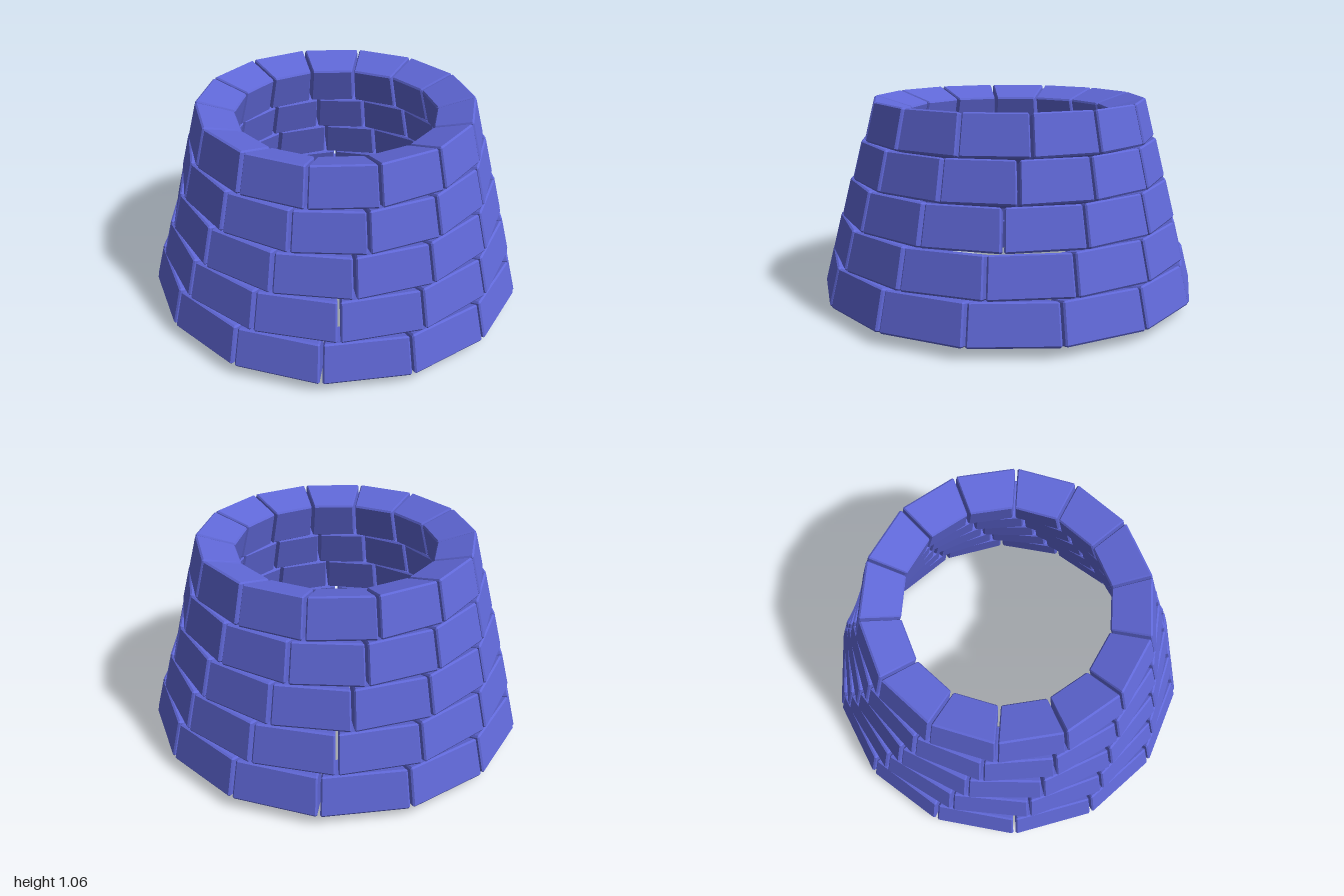
import * as THREE from 'three';
import { ConvexGeometry } from 'three/addons/geometries/ConvexGeometry.js';

const COURSES = 5;
const BRICKS = 14;
const STEP = (Math.PI * 2) / BRICKS;
const GAP = 0.007; // half of the open joint between neighbours
const BEVEL = 0.008;

// Cross-section of a tilted brick: [distance from axis, height]
function section(course) {
  const r = 0.975 - course * 0.057;
  const y = course * 0.201;
  return {
    outerBottom: [r, y + 0.06],
    outerTop: [r - 0.05, y + 0.258],
    innerBottom: [r - 0.193, y],
    innerTop: [r - 0.243, y + 0.198],
  };
}

// Wedge-shaped brick facing +z, with chamfered edges
function brickGeometry(course) {
  const s = section(course);
  const lerp = THREE.MathUtils.lerp;
  // u across, v up, w outwards, each from 0 to 1
  const place = (u, v, w) => {
    const mix = (k) => lerp(
      lerp(s.innerBottom[k], s.innerTop[k], v),
      lerp(s.outerBottom[k], s.outerTop[k], v), w);
    const r = mix(0);
    const half = r * Math.tan(STEP / 2) - GAP;
    return new THREE.Vector3((u * 2 - 1) * half, mix(1), r);
  };
  const inset = [BEVEL / 0.36, BEVEL / 0.2, BEVEL / 0.2];
  const points = [];
  for (let corner = 0; corner < 8; corner++) {
    for (let axis = 0; axis < 3; axis++) {
      // keep one coordinate on its face, pull the other two in
      const p = [0, 1, 2].map((k) => {
        const d = k === axis ? 0 : inset[k];
        return (corner >> k) & 1 ? 1 - d : d;
      });
      points.push(place(...p));
    }
  }
  return new ConvexGeometry(points);
}

export function createModel() {
  const model = new THREE.Group();
  model.name = 'brickRing';
  const material = new THREE.MeshStandardMaterial({ color: 0x6068d8, flatShading: true });

  // Stacked courses, each turned a little further than the one below
  for (let c = 0; c < COURSES; c++) {
    const course = new THREE.Group();
    course.name = `course${c + 1}`;
    const geometry = brickGeometry(c);
    const turn = THREE.MathUtils.degToRad(-13.2 + c * 4.87) + STEP / 2;
    for (let i = 0; i < BRICKS; i++) {
      const brick = new THREE.Mesh(geometry, material);
      brick.name = 'brick';
      brick.rotation.y = turn + i * STEP;
      course.add(brick);
    }
    model.add(course);
  }
  return model;
}
